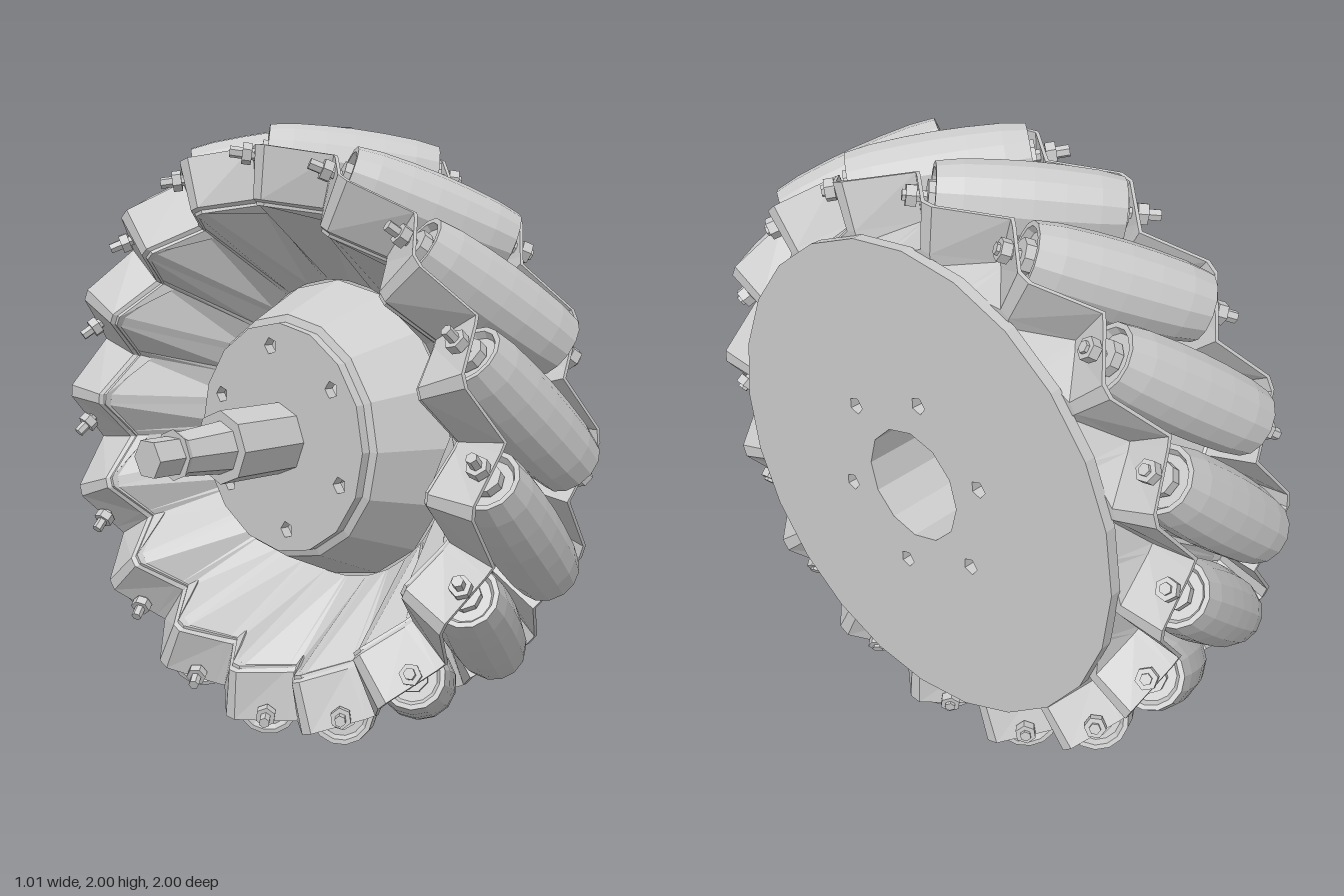
import * as THREE from 'three';

const COUNT = 16, STEP = (Math.PI * 2) / COUNT;
const CX = 0.175;        // middle plane of the rollers
const ROLLER_R = 0.88;   // distance of the roller axes from the wheel axis
const mat = new THREE.MeshStandardMaterial({ color: 0xcccccc, flatShading: true });
const sheet = new THREE.MeshStandardMaterial({ color: 0xcccccc, flatShading: true, side: THREE.DoubleSide });

function add(parent, name, geometry, material = mat) {
  const mesh = new THREE.Mesh(geometry, material);
  mesh.name = name;
  parent.add(mesh);
  return mesh;
}

const lathe = (points, sides) =>
  new THREE.LatheGeometry(points.map(([r, y]) => new THREE.Vector2(r, y)), sides);

// Polygon outline, also used for holes
function ring(path, r, sides, cx = 0, cy = 0) {
  const pts = [];
  for (let i = 0; i < sides; i++) {
    const a = (i / sides) * Math.PI * 2;
    pts.push(new THREE.Vector2(cx + r * Math.cos(a), cy + r * Math.sin(a)));
  }
  return path.setFromPoints(pts);
}

// Flat disc facing along x, with a centre hole and six bolt holes
function drilledDisc(r, sides, x, depth, centreR) {
  const shape = ring(new THREE.Shape(), r, sides);
  shape.holes.push(ring(new THREE.Path(), centreR, 12));
  for (let i = 0; i < 6; i++) {
    const a = Math.PI / 2 - 0.13 + (i * Math.PI) / 3;
    shape.holes.push(ring(new THREE.Path(), 0.028, 5, 0.3 * Math.cos(a), 0.3 * Math.sin(a)));
  }
  return new THREE.ExtrudeGeometry(shape, { depth, bevelEnabled: false })
    .rotateY(Math.PI / 2).translate(x, 0, 0);
}

// Corrugated rim: a zigzag channel whose slanted tabs hold the roller ends
function rimGeometry() {
  // one period of the right edge: x and arc offset from the roller centre
  const zig = [[0.32, -0.28], [0.34, -0.255], [0.455, -0.125], [0.455, -0.085]];
  const t = 0.014;
  const pos = [], idx = [];
  const put = (x, r, a) => pos.push(x, r * Math.sin(a), r * Math.cos(a));
  for (let i = 0; i < COUNT; i++) {
    zig.forEach(([x, s], k) => {
      const [mx, ms] = zig[zig.length - 1 - k];
      const base = (i + 0.5) * STEP;
      const right = base + s / 0.9, left = base - ms / 0.9, lx = 2 * CX - mx;
      put(0.3, 0.5, left);            // bowl bottom
      put(lx - t, 0.77, left);        // left wall, outside
      put(lx - t, 0.935, left);
      put(lx, 0.935, left);           // left wall, inside
      put(lx, 0.75, left);
      put(x, 0.75, right);            // channel floor to right wall
      put(x, 0.935, right);
      put(x + t, 0.935, right);
      put(x + t, 0.79, right);
      put(0.465, 0.75, right);        // edge under the face disc
    });
  }
  const cols = 10, rows = COUNT * zig.length;
  for (let i = 0; i < rows; i++) {
    for (let j = 0; j < cols - 1; j++) {
      const a = i * cols + j, b = ((i + 1) % rows) * cols + j;
      idx.push(a, a + 1, b, b, a + 1, b + 1);
    }
  }
  const g = new THREE.BufferGeometry();
  g.setAttribute('position', new THREE.Float32BufferAttribute(pos, 3));
  g.setIndex(idx);
  g.computeVertexNormals();
  return g;
}

export function createModel() {
  const model = new THREE.Group();
  model.name = 'omnidirectionalWheel';
  const wheel = new THREE.Group();
  wheel.name = 'wheel';
  wheel.position.y = 1;
  model.add(wheel);

  add(wheel, 'corrugatedRim', rimGeometry(), sheet);
  add(wheel, 'faceDisc', drilledDisc(0.78, 24, 0.463, 0.037, 0.185));

  // Hub on the inner side
  add(wheel, 'hubCone', lathe([[0.37, 0.06], [0.4, 0.07], [0.5, 0.3]], 16).rotateZ(-Math.PI / 2), sheet);
  add(wheel, 'hubPlate', drilledDisc(0.375, 16, 0.03, 0.035, 0.1));
  add(wheel, 'hubBore', lathe([[0.185, 0.05], [0.185, 0.47]], 12).rotateZ(-Math.PI / 2), sheet);

  // Stepped axle
  const axle = [
    ['axleCollar', 0.118, 0.118, -0.22, 0.28, 8],
    ['axleNeck', 0.085, 0.07, -0.39, -0.22, 8],
    ['axleStep', 0.07, 0.08, -0.41, -0.39, 8],
    ['axleTip', 0.063, 0.063, -0.51, -0.41, 6],
  ];
  for (const [name, rRight, rLeft, x0, x1, sides] of axle) {
    const g = new THREE.CylinderGeometry(rRight, rLeft, x1 - x0, sides);
    add(wheel, name, g.rotateZ(-Math.PI / 2).translate((x0 + x1) / 2, 0, 0));
  }

  // Barrel rollers with recessed ends, and their bolts
  const half = [[0.12, 0], [0.118, 0.09], [0.112, 0.19], [0.1, 0.265], [0.085, 0.265], [0.075, 0.245], [0, 0.245]];
  const profile = [...half.slice(1).reverse().map(([r, y]) => [r, -y]), ...half];
  const rollerG = lathe(profile, 14);
  const pinG = new THREE.CylinderGeometry(0.018, 0.018, 0.73, 6).translate(0, -0.015, 0);
  const nutG = new THREE.CylinderGeometry(0.034, 0.034, 0.03, 6);
  const collarG = new THREE.CylinderGeometry(0.05, 0.05, 0.03, 8);
  for (let i = 0; i < COUNT; i++) {
    const spoke = new THREE.Group();
    spoke.name = 'rollerUnit';
    spoke.rotation.x = -(i + 0.5) * STEP;
    const unit = new THREE.Group();
    unit.name = 'rollerAssembly';
    unit.position.set(CX, 0, ROLLER_R);
    unit.rotation.z = Math.atan2(-0.74, -0.67);   // axis slants down to the right
    add(unit, 'roller', rollerG);
    add(unit, 'rollerPin', pinG);
    for (const s of [-1, 1]) {
      add(unit, 'nut', nutG).position.y = s * 0.325;
      add(unit, 'spacer', collarG).position.y = s * 0.265;
    }
    spoke.add(unit);
    wheel.add(spoke);
  }
  return model;
}
